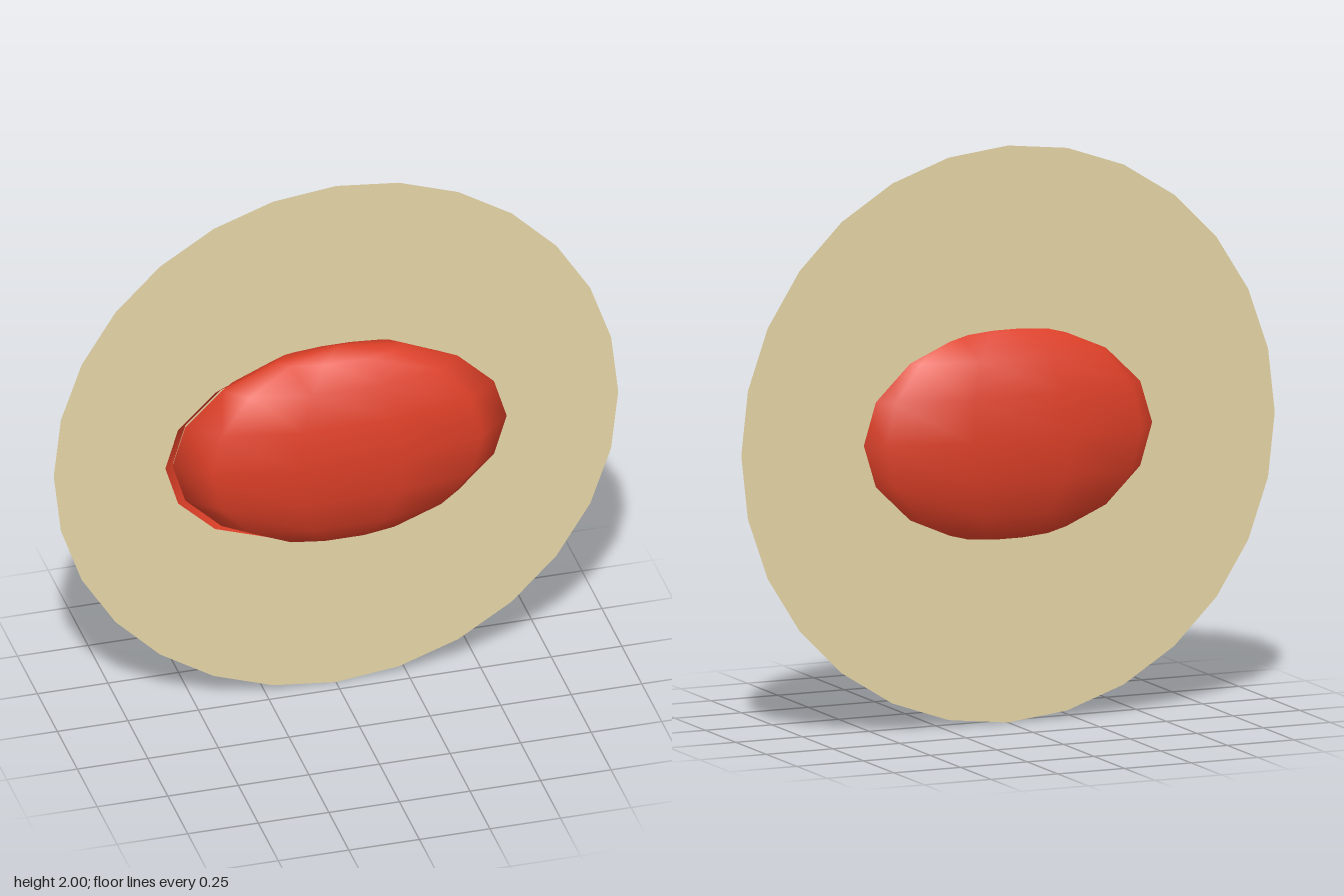
import * as THREE from 'three';

const sand = new THREE.MeshStandardMaterial({ color: 0xe4d4a6, side: THREE.DoubleSide });
sand.name = 'sand';
const red = new THREE.MeshStandardMaterial({ color: 0xdc3f27, side: THREE.DoubleSide });
red.name = 'red';

const RX = 0.592, RY = 0.384, RZ = 0.168;

function part(name, geometry, material, z = 0) {
  const mesh = new THREE.Mesh(geometry, material);
  mesh.name = name;
  mesh.position.set(0, 1, z);
  return mesh;
}

// Thin flared strip hugging one end of the body, fading out at both tips
function rimGeometry() {
  const positions = [], index = [], steps = 6;
  for (let i = 0; i <= steps; i++) {
    const angle = (i - steps / 2) * Math.PI / 8;
    const fade = Math.min(1, (steps / 2 - Math.abs(i - steps / 2)) * 0.9);
    const x = -RX * Math.cos(angle), y = RY * Math.sin(angle);
    positions.push(x + 0.006 * fade, y, -0.016 * fade);
    positions.push(x - 0.028 * fade, y * (1 + 0.01 * fade), 0.01 * fade);
    if (i < steps) {
      const a = i * 2;
      index.push(a, a + 1, a + 2, a + 1, a + 3, a + 2);
    }
  }
  const geometry = new THREE.BufferGeometry();
  geometry.setAttribute('position', new THREE.Float32BufferAttribute(positions, 3));
  geometry.setIndex(index);
  geometry.computeVertexNormals();
  return geometry;
}

export function createModel() {
  const group = new THREE.Group();
  group.name = 'discWithOvalBody';

  // Flat upright disc, set a little behind the middle of the body
  group.add(part('disc', new THREE.CircleGeometry(1, 28), sand, -0.045));

  // Low-poly oval body passing through the disc
  group.add(part('ovalBody', new THREE.SphereGeometry(1, 10, 8).scale(RX, RY, RZ), red));

  // Narrow rim at one end
  group.add(part('endRim', rimGeometry(), red));

  return group;
}
